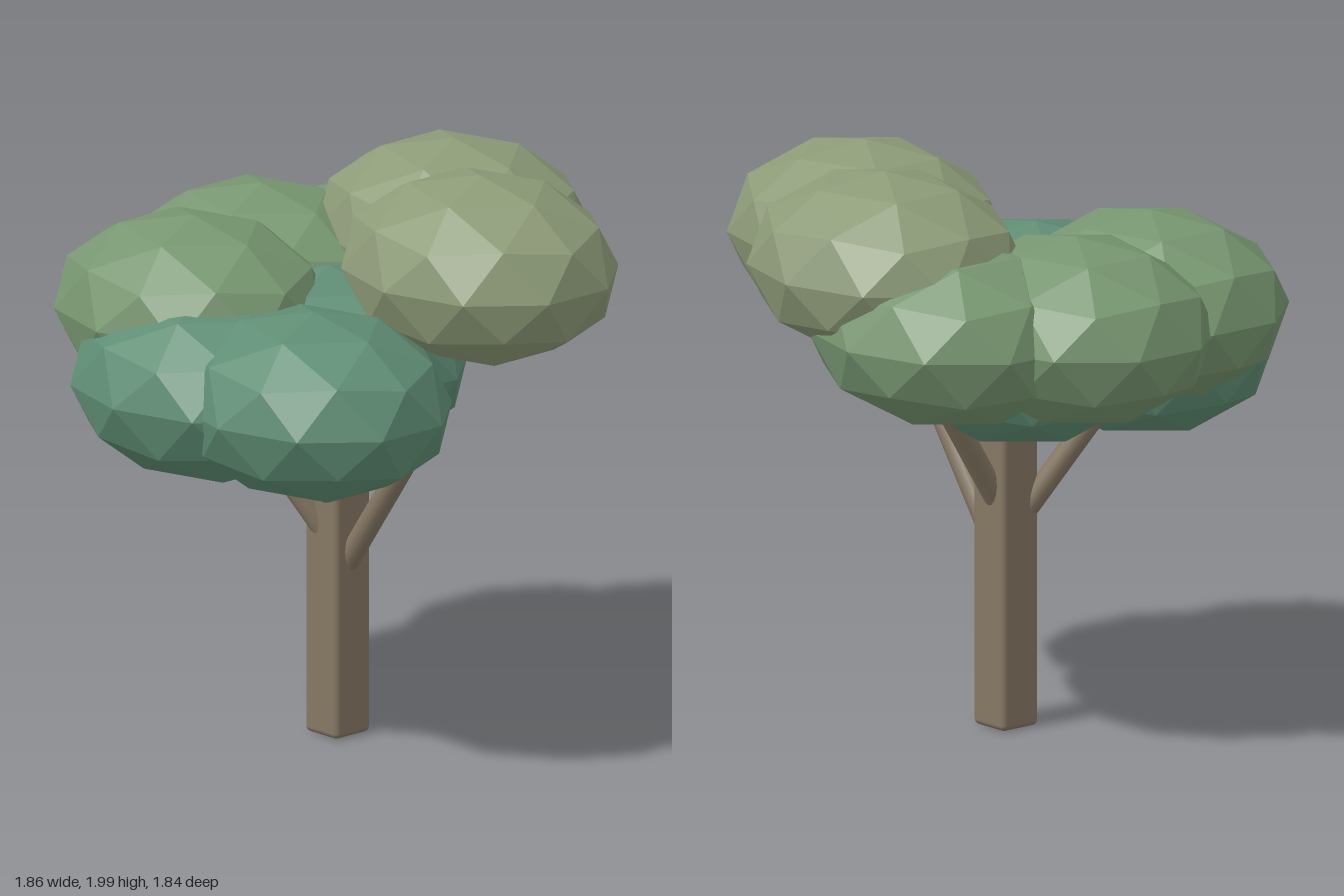
import * as THREE from 'three';
import { RoundedBoxGeometry } from 'three/addons/geometries/RoundedBoxGeometry.js';

export function createModel() {
  const tree = new THREE.Group();
  tree.name = 'tree';

  const bark = new THREE.MeshStandardMaterial({ color: 0x857763 });
  const leaf = (color) => new THREE.MeshStandardMaterial({ color, flatShading: true });
  const lowLeaf = leaf(0x5f8d74), midLeaf = leaf(0x779670), topLeaf = leaf(0x8d9b78);

  // Trunk: square post with softened edges
  const trunk = new THREE.Mesh(new RoundedBoxGeometry(0.16, 1.3, 0.16, 3, 0.02), bark);
  trunk.name = 'trunk';
  trunk.position.set(0.03, 0.66, 0.01);
  tree.add(trunk);

  // Branches: round rods from inside the trunk into the foliage
  const up = new THREE.Vector3(0, 1, 0);
  const addBranch = (name, from, to) => {
    const a = new THREE.Vector3(...from), b = new THREE.Vector3(...to);
    const dir = b.clone().sub(a);
    const branch = new THREE.Mesh(new THREE.CylinderGeometry(0.04, 0.04, dir.length(), 16), bark);
    branch.name = name;
    branch.position.copy(a).add(b).multiplyScalar(0.5);
    branch.quaternion.setFromUnitVectors(up, dir.normalize());
    tree.add(branch);
  };
  addBranch('leftBranch', [0.06, 0.59, 0.01], [0.42, 1.11, 0.01]);
  addBranch('rightBranch', [0.02, 0.7, 0.04], [-0.2, 1.12, 0.23]);
  addBranch('frontBranch', [0.04, 0.82, 0.04], [0.14, 1.12, 0.19]);
  addBranch('backBranch', [0.03, 0.75, 0], [0, 1.2, -0.3]);

  // Foliage: faceted, flattened spheres standing on a corner
  const clump = new THREE.IcosahedronGeometry(1, 1);
  clump.rotateX(-Math.atan((1 + Math.sqrt(5)) / 2));
  clump.rotateY(Math.PI / 2);
  clump.scale(0.51, 0.32, 0.44);
  const addClump = (name, material, x, y, z) => {
    const mesh = new THREE.Mesh(clump, material);
    mesh.name = name;
    mesh.position.set(x, y, z);
    tree.add(mesh);
  };
  addClump('lowerLeftFoliage', lowLeaf, 0.33, 1.31, 0.4);
  addClump('lowerFrontFoliage', lowLeaf, -0.1, 1.3, 0.48);
  addClump('lowerCentreFoliage', lowLeaf, 0, 1.32, 0.02);
  addClump('middleFrontFoliage', midLeaf, -0.33, 1.49, 0.34);
  addClump('middleRightFoliage', midLeaf, -0.44, 1.49, -0.08);
  addClump('middleBackFoliage', midLeaf, -0.18, 1.49, -0.43);
  addClump('upperBackFoliage', topLeaf, 0.08, 1.68, -0.48);
  addClump('upperLeftFoliage', topLeaf, 0.45, 1.68, -0.25);

  return tree;
}
